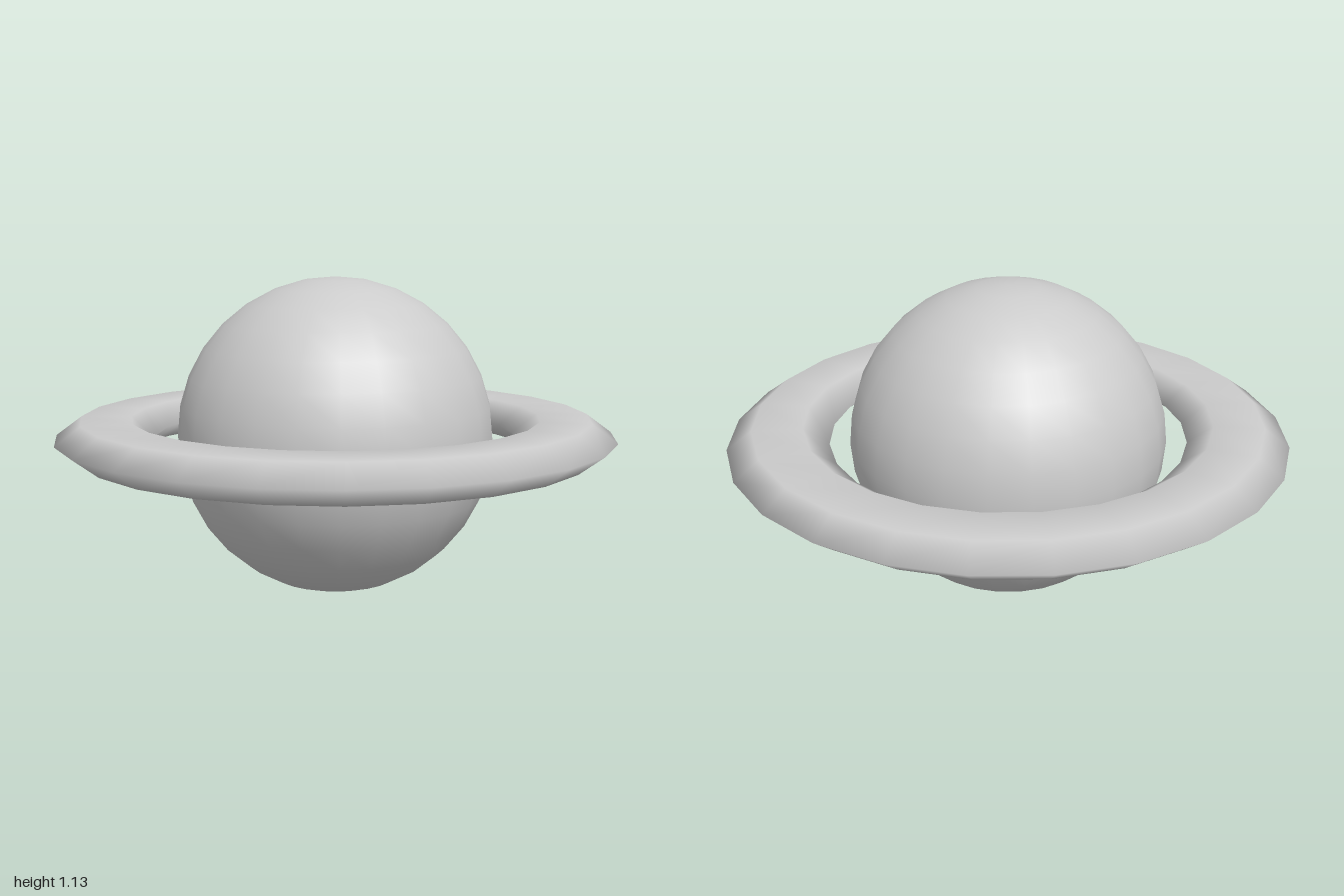
import * as THREE from 'three';

const CENTER_Y = 0.57;

export function createModel() {
  const group = new THREE.Group();
  group.name = 'ringedPlanet';
  const material = new THREE.MeshStandardMaterial({ color: 0xcccccc });

  // Round body
  const planet = new THREE.Mesh(new THREE.SphereGeometry(0.567, 24, 16), material);
  planet.name = 'planet';
  planet.position.y = CENTER_Y;

  // Flattened ring with a six-sided section, smooth shaded
  const ringGeometry = new THREE.TorusGeometry(0.82, 0.18, 6, 24);
  ringGeometry.rotateX(-Math.PI / 2);
  ringGeometry.scale(1, 0.43, 1);
  const ring = new THREE.Mesh(ringGeometry, material);
  ring.name = 'ring';
  ring.position.y = CENTER_Y + 0.003;

  group.add(planet, ring);
  return group;
}
